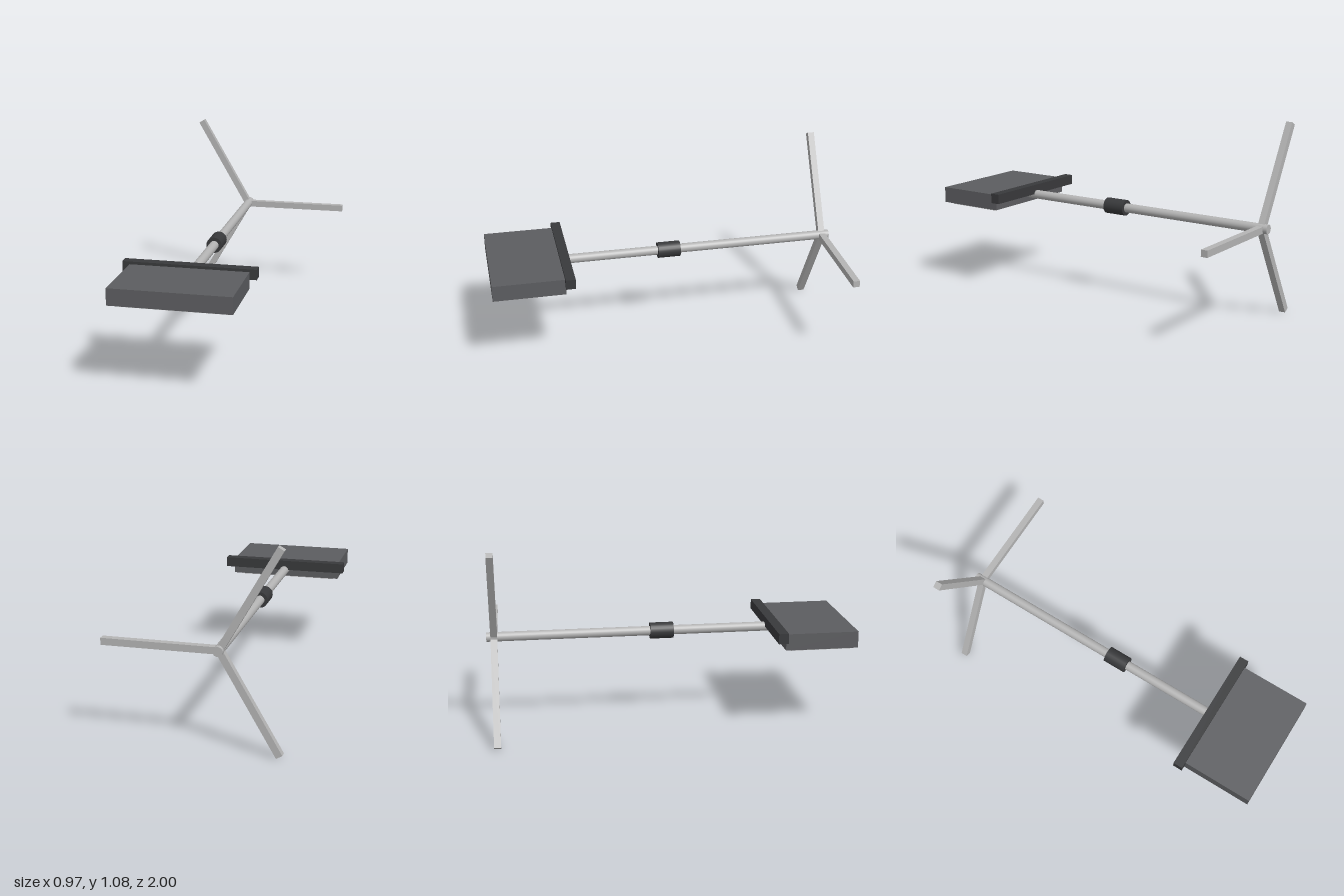
import * as THREE from 'three';

const AXIS_X = -0.127, AXIS_Y = 0.54;

export function createModel() {
  const group = new THREE.Group();
  const metal = new THREE.MeshStandardMaterial({ color: 0xb4b4b4 });
  const panelGrey = new THREE.MeshStandardMaterial({ color: 0x5c5d60 });
  const dark = new THREE.MeshStandardMaterial({ color: 0x38393b });

  const add = (name, geometry, material, x, y, z) => {
    const mesh = new THREE.Mesh(geometry, material);
    mesh.name = name;
    mesh.position.set(x, y, z);
    group.add(mesh);
    return mesh;
  };
  const box = (name, material, w, y0, y1, z0, z1) =>
    add(name, new THREE.BoxGeometry(w, y1 - y0, z1 - z0), material,
      AXIS_X, (y0 + y1) / 2, (z0 + z1) / 2);
  const rod = (name, material, radius, z0, z1) =>
    add(name, new THREE.CylinderGeometry(radius, radius, z1 - z0, 24).rotateX(Math.PI / 2),
      material, AXIS_X, AXIS_Y + 0.003, (z0 + z1) / 2);

  // Head: thick panel, rear crossbar and thin plate underneath
  box('headPanel', panelGrey, 0.643, 0.497, 0.588, 0.6, 1);
  box('crossbar', dark, 0.72, 0.547, 0.603, 0.55, 0.604);
  box('bottomPlate', metal, 0.576, 0.484, 0.498, 0.635, 0.968);

  // Pole with its clamp sleeve
  rod('pole', metal, 0.026, -1, 0.602);
  rod('sleeve', dark, 0.045, -0.1, 0.03);

  // Three square legs spread evenly around the pole end
  const legGeometry = new THREE.BoxGeometry(0.61, 0.037, 0.037).translate(0.305, 0, 0);
  for (let i = 0; i < 3; i++) {
    const leg = add('leg' + (i + 1), legGeometry, metal, AXIS_X, AXIS_Y, -0.959);
    leg.rotation.z = i * Math.PI * 2 / 3;
  }
  return group;
}
